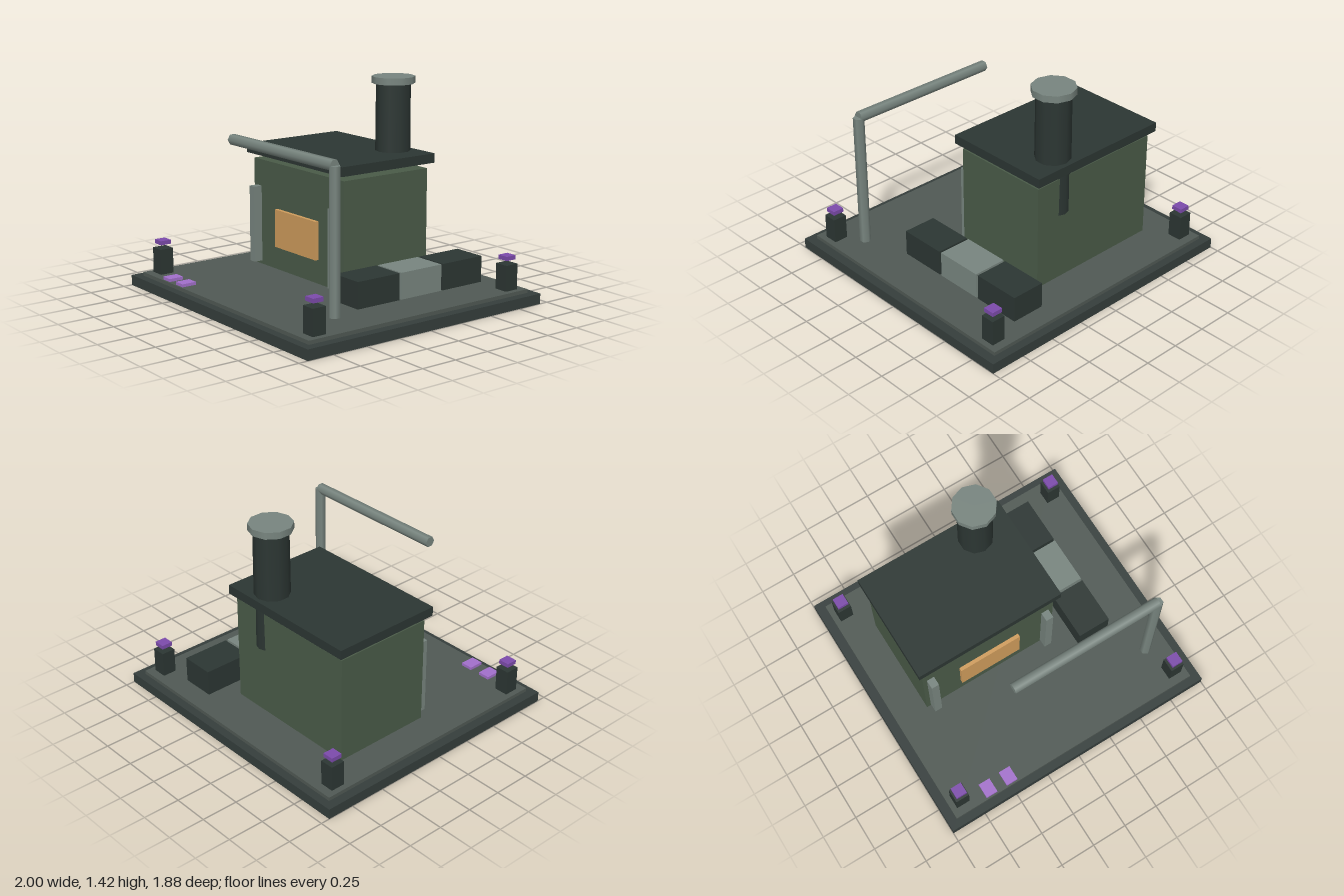
import * as THREE from 'three';

const mat = (color) => new THREE.MeshStandardMaterial({ color });

export function createModel() {
  const model = new THREE.Group();
  const dark = mat(0x2c3633), base = mat(0x353e3c), deck = mat(0x505954), wall = mat(0x4a5b48);
  const metal = mat(0x78857f), amber = mat(0xcf9c5c), violet = mat(0x7c4bab), lilac = mat(0xa26fcb);

  const add = (name, geometry, material, x, y, z) => {
    const mesh = new THREE.Mesh(geometry, material);
    mesh.name = name;
    mesh.position.set(x, y, z);
    model.add(mesh);
    return mesh;
  };
  // Box given by its centre in x and z, its bottom and its top
  const box = (name, material, x, z, w, d, y0, y1) =>
    add(name, new THREE.BoxGeometry(w, y1 - y0, d), material, x, (y0 + y1) / 2, z);

  // Ground plate
  box('basePlate', base, 0, 0, 2, 1.875, 0, 0.07);
  box('deck', deck, 0, 0, 1.875, 1.765, 0.07, 0.095);

  // Building, with a raised roof slab
  box('walls', wall, -0.212, -0.228, 0.995, 0.695, 0.095, 0.828);
  box('roof', dark, -0.213, -0.228, 1.06, 0.77, 0.865, 0.928);
  box('furnaceWindow', amber, -0.211, 0.13, 0.453, 0.03, 0.257, 0.517);
  for (const x of [-0.653, 0.224]) box('pilaster', metal, x, 0.15, 0.053, 0.065, 0.118, 0.645);

  // Chimney, breaking slightly through the rear wall
  add('chimney', new THREE.CylinderGeometry(0.115, 0.12, 0.82, 10), dark, 0.058, 0.97, -0.47);
  add('chimneyCap', new THREE.CylinderGeometry(0.145, 0.145, 0.046, 10), metal, 0.058, 1.402, -0.47);

  // Hexagonal pipework
  add('uprightPipe', new THREE.CylinderGeometry(0.037, 0.037, 0.925, 6), metal, 0.77, 0.5975, 0.566);
  add('overheadPipe', new THREE.CylinderGeometry(0.037, 0.037, 1.075, 6), metal, 0.2325, 1.063, 0.566)
    .rotation.z = Math.PI / 2;

  // Row of crates beside the building
  [dark, metal, dark].forEach((m, i) =>
    box('crate', m, 0.527, 0.122 - 0.35 * i, 0.235, 0.334, 0.102, 0.278));

  // Corner posts with floating lamps
  for (const x of [-0.85, 0.85]) {
    for (const z of [-0.776, 0.776]) {
      box('cornerPost', dark, x, z, 0.097, 0.097, 0.095, 0.267);
      box('postLamp', violet, x, z, 0.077, 0.077, 0.295, 0.323);
    }
  }

  // Marker pads at the front edge
  for (const x of [-0.655, -0.497]) box('markerPad', lilac, x, 0.82, 0.083, 0.103, 0.093, 0.115);

  return model;
}
